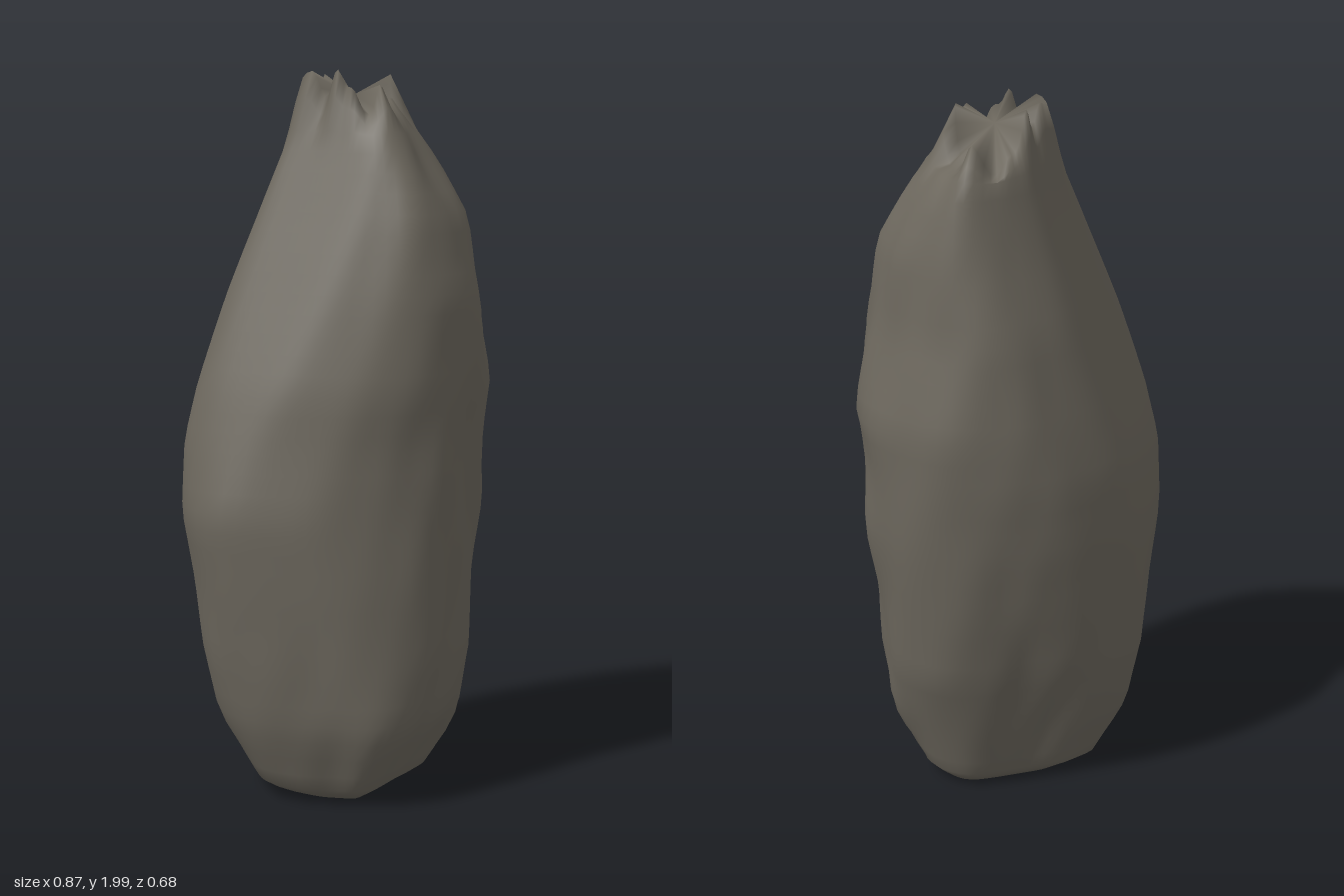
import * as THREE from 'three';

// Each row: height, then the reach of the rock in eight directions,
// turning from +x through +z, -x and -z in steps of 45 degrees.
const ROWS = [
  [0.01, .21, .15, .23, .18, .17, .15, .10, .18],
  [0.04, .255, .20, .26, .24, .23, .23, .125, .21],
  [0.22, .33, .305, .338, .315, .333, .315, .185, .275],
  [0.40, .355, .33, .33, .355, .37, .345, .24, .345],
  [0.60, .375, .33, .325, .385, .395, .35, .285, .365],
  [0.80, .415, .335, .31, .41, .435, .355, .32, .38],
  [1.00, .405, .35, .302, .35, .43, .34, .338, .395],
  [1.15, .425, .37, .312, .305, .40, .30, .335, .40],
  [1.40, .36, .385, .293, .215, .325, .23, .307, .35],
  [1.60, .333, .33, .268, .145, .25, .17, .25, .335],
  [1.75, .265, .235, .228, .095, .19, .13, .22, .31],
  [1.86, .19, .18, .175, .06, .145, .105, .205, .285],
  [1.93, .15, .13, .13, .04, .11, .085, .18, .24],
];
// How far each in-between direction is cut back from the sharp corner
const CORNER = [.98, .94, .86, .97, .96, .88, .96, .94];
const SEG = 64, LEVELS = 38, TOP = 1.93, STEP = Math.PI / 4;

// Facet angles and distances at a height
function facetsAt(y) {
  let i = 0;
  while (i < ROWS.length - 2 && ROWS[i + 1][0] < y) i++;
  const a = ROWS[i], b = ROWS[i + 1];
  const t = THREE.MathUtils.clamp((y - a[0]) / (b[0] - a[0]), 0, 1);
  const d = a.slice(1).map((v, k) => THREE.MathUtils.lerp(v, b[k + 1], t));
  return d.flatMap((v, k) => [
    [k * STEP, v],
    [(k + 0.5) * STEP, CORNER[k] * (v + d[(k + 1) % 8]) / (2 * Math.cos(STEP / 2))],
  ]);
}

// Outline with slightly rounded corners, measured from the core line
function outline(facets, th, cx, cz) {
  let sum = 0;
  for (const [a, d] of facets) {
    const c = Math.cos(th - a);
    if (c > 0.05) sum += Math.pow(c / Math.max(0.01, d - cx * Math.cos(a) - cz * Math.sin(a)), 30);
  }
  return 1.02 * Math.pow(sum, -1 / 30);
}

// Chipped relief, fading out on the two big cleaved faces at -x
function relief(y, th) {
  const rough = THREE.MathUtils.smoothstep(Math.cos(th), -0.3, 0.4);
  const low = 1 - THREE.MathUtils.smoothstep(y, 0.3, 0.6);
  const n = Math.sin(5 * th + 1.1) * Math.sin(4.3 * y + 1.2)
    + 0.7 * Math.sin(9 * th + 2 * Math.sin(3 * y)) * Math.cos(7.5 * y)
    + 0.5 * Math.sin(12 * th + 1) * Math.sin(11 * y);
  return 0.007 * n * Math.max(rough, 0.6 * low);
}

// Broken crown: uneven teeth, stepping down to a shoulder at the back
function crownOffset(th) {
  return 0.03 + 0.025 * Math.sin(6 * th + 0.9) + 0.02 * Math.sin(11 * th)
    - 0.1 * THREE.MathUtils.smoothstep(Math.cos(th - 5.3), 0.2, 0.9)
    - 0.05 * THREE.MathUtils.smoothstep(Math.cos(th - 1.2), 0.4, 1);
}

function rockGeometry() {
  const pos = [], idx = [];
  for (let j = 0; j <= LEVELS; j++) {
    const t = j / LEVELS;
    // Closer rings around the rounded foot
    const y = 0.01 + (TOP - 0.01) * (t < 0.06 ? t * 0.35 : 0.021 + (t - 0.06) * 0.979 / 0.94);
    const lean = THREE.MathUtils.smoothstep(y, 0.9, 1.9);
    const cx = 0.06 * lean, cz = 0.05 * (1 - THREE.MathUtils.smoothstep(y, 0, 0.8)) - 0.02 * lean;
    const facets = facetsAt(y);
    const crown = THREE.MathUtils.smoothstep(y, 1.8, TOP);
    for (let i = 0; i < SEG; i++) {
      const th = i / SEG * Math.PI * 2;
      const r = outline(facets, th, cx, cz) + relief(y, th) * Math.min(1, y * 6);
      pos.push(cx + r * Math.cos(th), Math.min(2, y + crown * crownOffset(th)), cz + r * Math.sin(th));
    }
  }
  // Sunken top and underside centres
  const top = pos.length / 3;
  pos.push(0.05, 1.92, -0.02, 0, 0, 0.06);
  for (let i = 0; i < SEG; i++) {
    const n = (i + 1) % SEG;
    for (let j = 0; j < LEVELS; j++) {
      const a = j * SEG + i, b = j * SEG + n;
      idx.push(a, a + SEG, b, b, a + SEG, b + SEG);
    }
    idx.push(LEVELS * SEG + i, top, LEVELS * SEG + n);
    idx.push(i, n, top + 1);
  }
  const g = new THREE.BufferGeometry();
  g.setAttribute('position', new THREE.Float32BufferAttribute(pos, 3));
  g.setIndex(idx);
  g.computeVertexNormals();
  return g;
}

export function createModel() {
  const group = new THREE.Group();
  group.name = 'standingRock';
  const stone = new THREE.MeshStandardMaterial({ color: 0x6c675d });
  stone.name = 'greyStone';
  const rock = new THREE.Mesh(rockGeometry(), stone);
  rock.name = 'rock';
  group.add(rock);
  return group;
}
